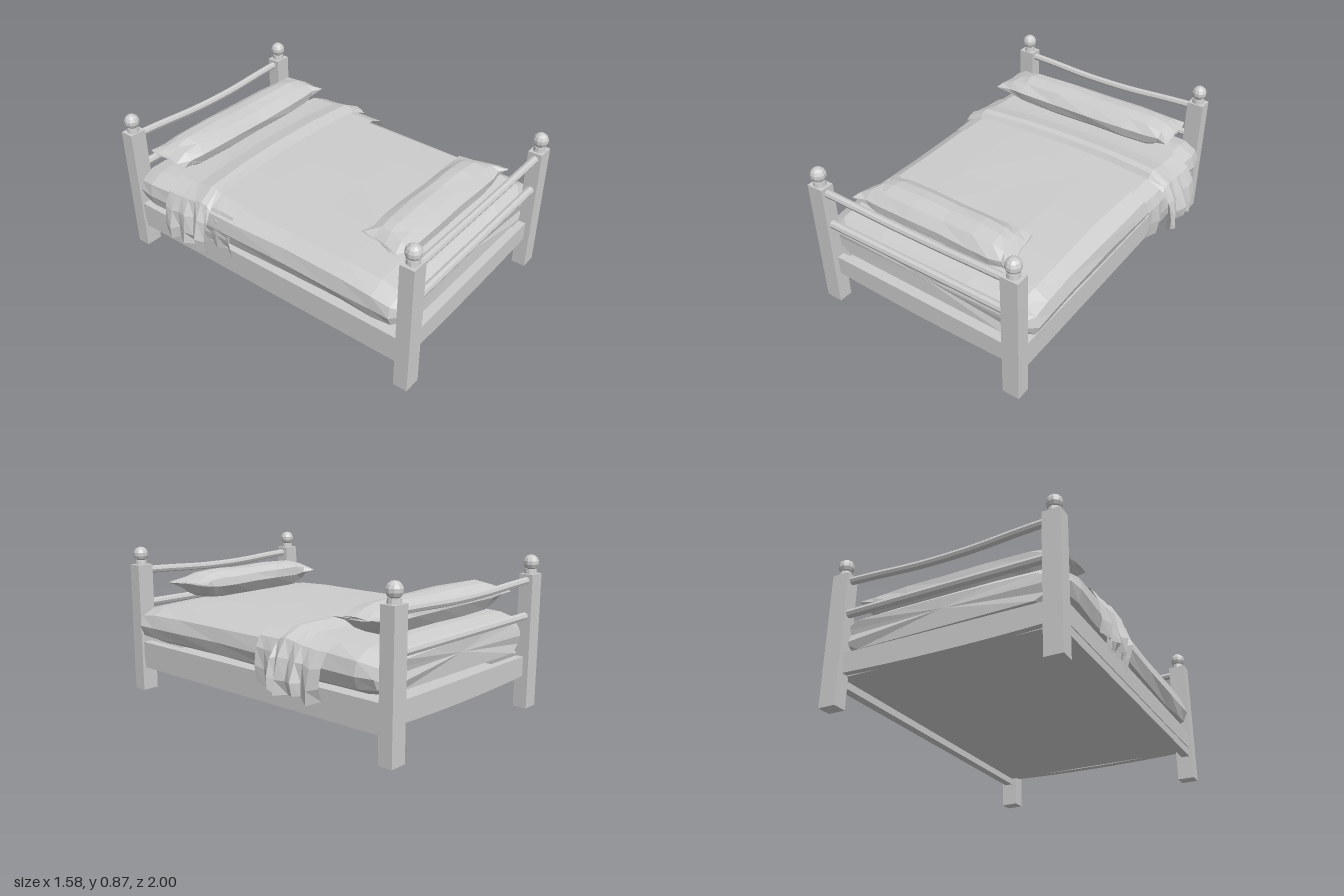
import * as THREE from 'three';

const grey = new THREE.MeshStandardMaterial({ color: 0xcccccc, flatShading: true, side: THREE.DoubleSide });
grey.name = 'light grey';

const CX = -0.035; // middle of the bed frame
const POST_X = [-0.655, 0.587];

// Seeded value in -1..1 for cloth irregularity
const rough = (a, b) => {
  const s = Math.sin(a * 12.99 + b * 78.23 + 4.1) * 43758.55;
  return (s - Math.floor(s)) * 2 - 1;
};

// Skin a list of cross-sections; closed ones also get end caps
function loft(rows, closed) {
  const pos = [];
  const n = rows[0].length;
  const tri = (...pts) => pts.forEach(p => pos.push(...p));
  for (let i = 0; i < rows.length - 1; i++) {
    for (let j = 0; j < (closed ? n : n - 1); j++) {
      const k = (j + 1) % n;
      tri(rows[i][j], rows[i][k], rows[i + 1][k]);
      tri(rows[i][j], rows[i + 1][k], rows[i + 1][j]);
    }
  }
  if (closed) {
    [rows[0], rows[rows.length - 1]].forEach((row, end) => {
      const mid = [0, 1, 2].map(a => row.reduce((s, p) => s + p[a], 0) / n);
      row.forEach((p, j) => {
        const q = row[(j + 1) % n];
        if (end) tri(mid, p, q); else tri(mid, q, p);
      });
    });
  }
  const g = new THREE.BufferGeometry();
  g.setAttribute('position', new THREE.Float32BufferAttribute(pos, 3));
  g.computeVertexNormals();
  return g;
}

function add(parent, name, geometry, x = 0, y = 0, z = 0) {
  const m = new THREE.Mesh(geometry, grey);
  m.name = name;
  m.position.set(x, y, z);
  parent.add(m);
  return m;
}

const box = (w, h, d) => new THREE.BoxGeometry(w, h, d);

// Square post with a neck and a ball finial
function makePost(x, z) {
  const post = new THREE.Group();
  post.name = 'post';
  add(post, 'postShaft', box(0.1, 0.768, 0.082), 0, 0.384, 0);
  add(post, 'postNeck', new THREE.CylinderGeometry(0.032, 0.036, 0.03, 10), 0, 0.78, 0);
  add(post, 'postBall', new THREE.SphereGeometry(0.044, 10, 7), 0, 0.83, 0);
  post.position.set(x, 0, z);
  return post;
}

// Sagging top rail, straight lower rail and curved board between two posts
function makeEnd(side) {
  const end = new THREE.Group();
  end.name = side > 0 ? 'footboard' : 'headboard';
  POST_X.forEach(x => end.add(makePost(x, side * 0.957)));
  const rail = (name, yEnd, yMid, zMid, r) => {
    const pts = [-0.6, -0.42, -0.15, 0.15, 0.42, 0.6].map(x => {
      const t = Math.pow(Math.cos(x / 0.6 * Math.PI / 2), 1.5) || 0;
      return new THREE.Vector3(CX + x, yEnd + (yMid - yEnd) * t, side * (0.96 + (zMid - 0.96) * t));
    });
    add(end, name, new THREE.TubeGeometry(new THREE.CatmullRomCurve3(pts), 16, r, 8));
  };
  rail('topRail', 0.732, 0.71, 0.948, 0.022);
  rail('lowerRail', 0.53, 0.53, 0.96, 0.024);

  const s = new THREE.Shape();
  s.moveTo(-0.6, 0.3);
  s.lineTo(-0.6, 0.188);
  s.quadraticCurveTo(0, 0.162, 0.6, 0.188);
  s.lineTo(0.6, 0.3);
  const board = new THREE.ExtrudeGeometry(s, { depth: 0.045, bevelEnabled: false, curveSegments: 8 });
  add(end, 'endBoard', board, CX, 0, side * 0.943 - 0.0225);
  return end;
}

// Soft block with rounded edges, skinned from foot to head
function makeMattress() {
  const half = [[0.58, 0.305], [0.665, 0.345], [0.692, 0.415], [0.672, 0.495], [0.59, 0.545], [0.3, 0.557]];
  const outline = [...half, [0, 0.558], ...half.map(([x, y]) => [-x, y]).reverse()];
  const stations = [[-0.935, 0.88, 0.6], [-0.9, 0.98, 0.78], [-0.8, 1.01, 0.93], [-0.6, 1, 1], [-0.2, 1, 1],
    [0.2, 0.99, 1], [0.55, 0.99, 0.98], [0.76, 1, 0.94], [0.87, 1, 0.8], [0.925, 0.9, 0.56]];
  return loft(stations.map(([z, sx, sy], i) => outline.map(([x, y], j) => [
    -0.022 + x * sx + 0.006 * rough(i, j),
    0.31 + (y - 0.31) * (y > 0.42 ? 1 - (1 - sy) * 0.62 : 1) + (y < 0.4 ? (1 - sy) * 0.06 : 0) + 0.003 * rough(j, i),
    z + (i === 0 || i === 9 ? 0.01 * rough(i, j + 3) : 0)
  ])), true);
}

// Plump middle narrowing to thin flared ends
function makePillow(halfLength, seed, skew) {
  const stations = [[-1, 0.07, 1.05], [-0.87, 0.66, 0.86], [-0.72, 0.95, 0.9], [-0.3, 1, 0.92], [0.1, 0.98, 0.9],
    [0.5, 1, 0.92], [0.75, 0.93, 0.9], [0.88, 0.62, 0.87], [1, 0.07, 1.05]];
  const ring = [[1, 0], [0.82, 0.6], [0.2, 0.98], [-0.45, 0.9], [-0.95, 0.5],
    [-1, -0.2], [-0.85, -0.65], [0, -1], [0.55, -0.92], [0.92, -0.5]];
  return loft(stations.map(([u, thick, wide], i) => ring.map(([y, z], j) => [
    halfLength * u * (1 + skew * z) + 0.01 * rough(i + seed, j),
    0.085 * y * thick + 0.02 * (1 - thick) + 0.004 * rough(j, i + seed),
    0.143 * z * wide + 0.005 * rough(i, j + seed)
  ])), true);
}

// Cloth laid across the bed with pleats hanging on both sides
function makeCloth(path, stations, bow, pleat, seed) {
  const full = [...path, ...path.map(([x, y]) => [-x, y]).reverse()];
  return loft(stations.map(([z, lift], i) => full.map(([x, y]) => {
    const hang = Math.max(0, (0.54 - y) / 0.28);
    const fold = pleat * hang * ((i % 2 ? 0 : -1) + 0.3 * rough(i + seed, x));
    const side = Math.sign(x);
    return [
      x + side * fold,
      y + lift * (1 - Math.min(1, hang)) + hang * 0.022 * rough(i, seed + side),
      z - bow * (1 - (x / 0.78) ** 2) + hang * 0.015 * rough(seed, i + side)
    ];
  })), false);
}

export function createModel() {
  const bed = new THREE.Group();
  bed.name = 'bed';

  // Frame
  [1, -1].forEach(side => bed.add(makeEnd(side)));
  [1, -1].forEach(side => {
    add(bed, 'sideBoard', box(0.055, 0.11, 1.86), CX + side * 0.63, 0.245, 0);
    add(bed, 'sideBoardLedge', box(0.05, 0.05, 1.86), CX + side * 0.628, 0.165, 0);
  });
  add(bed, 'basePanel', box(1.24, 0.03, 1.86), CX, 0.195, 0);

  // Bedding
  add(bed, 'mattress', makeMattress());
  add(bed, 'headPillow', makePillow(0.6, 3, 0.02), -0.03, 0.643, -0.715);
  add(bed, 'footPillow', makePillow(0.48, 11, 0.06), -0.04, 0.641, 0.7);

  // Under layer of the turned-down sheet
  const under = [[0.7, 0.265], [0.715, 0.36], [0.705, 0.46], [0.675, 0.52], [0.59, 0.556], [0.3, 0.564], [0.05, 0.565]];
  add(bed, 'underSheet', makeCloth(under,
    [[-0.45, 0], [-0.4, 0], [-0.34, 0], [-0.28, 0], [-0.22, 0], [-0.17, 0]], 0, 0.02, 5));

  // Folded cuff with a raised front ridge
  const cuff = [[0.775, 0.26], [0.782, 0.33], [0.755, 0.43], [0.705, 0.51], [0.6, 0.558], [0.3, 0.566], [0.05, 0.566]];
  add(bed, 'sheetCuff', makeCloth(cuff,
    [[-0.64, 0], [-0.58, 0.003], [-0.53, 0.006], [-0.48, 0.01], [-0.43, 0.022], [-0.375, 0.036], [-0.335, 0.03], [-0.315, 0]],
    0.05, 0.045, 9));

  return bed;
}
